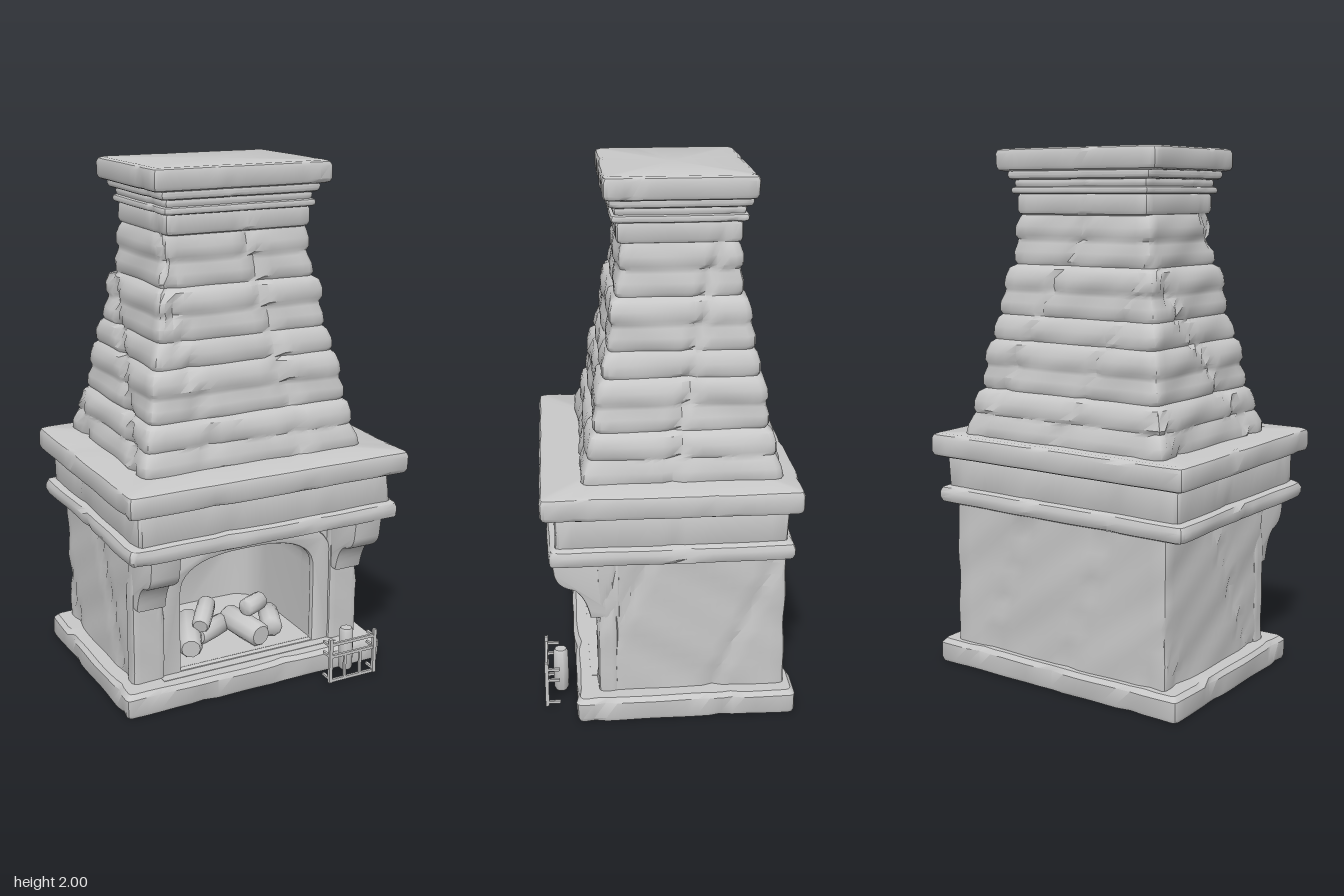
import * as THREE from 'three';
import { toCreasedNormals } from 'three/addons/utils/BufferGeometryUtils.js';

const stone = new THREE.MeshStandardMaterial({ color: 0xc8c8c8, side: THREE.DoubleSide });
stone.name = 'grey stone';

// Smooth, repeatable unevenness with occasional chips
const wear = (x, y, z) => {
  const soft = Math.sin(9 * x + 7 * y + 2) * Math.sin(8 * z - 11 * y) * 0.5 + Math.sin(23 * x - 19 * z + 31 * y) * 0.3;
  const chip = Math.max(0, Math.sin(17 * x + 13 * z + 6 * y + 1) - 0.93) * 22;
  return soft - chip;
};

export function createModel() {
  const model = new THREE.Group();
  model.name = 'fireplace';
  const body = new THREE.Group();
  body.name = 'masonry';
  body.rotation.y = -0.174;
  model.add(body);

  const add = (name, geo, parent = body, crease = 0.65) => {
    const mesh = new THREE.Mesh(toCreasedNormals(geo, crease), stone);
    mesh.name = name;
    parent.add(mesh);
    return mesh;
  };

  // Skin over equal-length rows of points; keep() may drop faces
  const skin = (rows, closed, keep = () => true) => {
    const n = rows[0].length, index = [];
    for (let i = 0; i < rows.length - 1; i++) {
      for (let j = 0; j < (closed ? n : n - 1); j++) {
        const k = (j + 1) % n;
        if (!keep(rows[i][j], rows[i][k])) continue;
        const a = i * n + j, b = i * n + k;
        index.push(a, a + n, b, b, a + n, b + n);
      }
    }
    const geo = new THREE.BufferGeometry().setFromPoints(rows.flat());
    geo.setIndex(index);
    return geo;
  };

  // Rounded rectangular ring at height y
  const ring = (y, hw, zf, zb, amp = 0.006, r = 0.018) => {
    const pts = [], corners = [[hw, zf], [-hw, zf], [-hw, zb], [hw, zb]];
    const put = (x, z, a) => {
      const d = amp * wear(x, y, z);
      pts.push(new THREE.Vector3(x + Math.cos(a) * d, y, z + Math.sin(a) * d));
    };
    const at = (k, a) => {
      const [x, z] = corners[k % 4];
      return [x - Math.sign(x) * r + Math.cos(a) * r, z + (k % 4 < 2 ? -r : r) + Math.sin(a) * r];
    };
    for (let k = 0; k < 4; k++) {
      const a0 = k * Math.PI / 2, a1 = a0 + Math.PI / 2;
      for (let s = 0; s < 3; s++) put(...at(k, a0 + s * Math.PI / 4), a0 + s * Math.PI / 4);
      const p = at(k, a1), q = at(k + 1, a1);
      for (let s = 1; s < 18; s++) {
        put(p[0] + (q[0] - p[0]) * s / 18, p[1] + (q[1] - p[1]) * s / 18, a1);
      }
    }
    return pts;
  };
  const hub = (row, z) => row.map(p => new THREE.Vector3(0, p.y, z));

  // Closed course of stone with softened edges
  const slab = (name, y0, y1, hw, zf, zb, soft = 0.016, amp = 0.006) => {
    const e = Math.min(soft, (y1 - y0) / 2.5);
    const rows = [[y0, e], [y0 + e * 0.3, e * 0.3], [y0 + e, 0], [y1 - e, 0], [y1 - e * 0.3, e * 0.3], [y1, e]]
      .map(([y, i]) => ring(y, hw - i, zf - i, zb + i, amp));
    const mid = (zf + zb) / 2;
    add(name, skin([hub(rows[0], mid), ...rows, hub(rows[5], mid)], true));
  };

  // Plinth, open underneath
  const plinth = [[0, 0.55, 0.35, -0.46], [0.015, 0.555, 0.355, -0.465], [0.075, 0.555, 0.355, -0.465],
    [0.092, 0.54, 0.34, -0.45], [0.092, 0.47, 0.25, -0.41]].map(r => ring(...r));
  plinth.unshift(ring(0, 0.515, 0.315, -0.425));
  add('plinth', skin(plinth, true));

  // Side and back walls, open at the front
  const walls = [];
  for (let i = 0; i <= 12; i++) walls.push(ring(0.09 + i * 0.046, 0.488, 0.262, -0.43, 0.008));
  add('walls', skin(walls, true, (p, q) => Math.min(p.z, q.z) < 0.235));

  // Arched contour of the hearth opening
  const arch = (w, spring, top) => {
    const pts = [new THREE.Vector2(w, 0.09)];
    for (let i = 0; i <= 20; i++) {
      const a = i / 20 * Math.PI, c = Math.cos(a);
      pts.push(new THREE.Vector2(Math.sign(c) * w * Math.abs(c) ** 0.75, spring + (top - spring) * Math.sin(a) ** 0.75));
    }
    pts.push(new THREE.Vector2(-w, 0.09));
    return pts;
  };
  const inner = arch(0.3, 0.4, 0.56);
  const pierced = (outline, depth, bevel) => {
    const shape = new THREE.Shape(outline);
    shape.holes.push(new THREE.Path(inner));
    return new THREE.ExtrudeGeometry(shape, { depth, bevelEnabled: bevel > 0, bevelSize: bevel, bevelThickness: bevel, bevelSegments: 2 });
  };
  const rect = [[-0.48, 0.08], [0.48, 0.08], [0.48, 0.65], [-0.48, 0.65]].map(p => new THREE.Vector2(...p));
  add('frontWall', pierced(rect, 0.09, 0).translate(0, 0, 0.15));
  add('archSurround', pierced(arch(0.365, 0.43, 0.615), 0.012, 0.01).translate(0, 0, 0.238));

  // Firebox vault narrowing to a rounded back
  const vault = [[0.16, 1], [-0.14, 1], [-0.2, 0.97], [-0.25, 0.88], [-0.28, 0.74], [-0.285, 0]]
    .map(([z, s]) => inner.map(p => new THREE.Vector3(p.x * s, 0.09 + (p.y - 0.09) * s, z)));
  add('firebox', skin(vault, false), body, 1);
  add('hearthFloor', new THREE.BoxGeometry(0.76, 0.02, 0.6).translate(0, 0.084, 0));

  // Front pillars and scrolled corbels
  const profile = new THREE.Shape();
  profile.moveTo(0.2, 0.41);
  profile.lineTo(0.29, 0.41);
  profile.quadraticCurveTo(0.31, 0.5, 0.355, 0.525);
  profile.quadraticCurveTo(0.41, 0.535, 0.42, 0.58);
  profile.lineTo(0.43, 0.65);
  profile.lineTo(0.2, 0.65);
  const corbel = new THREE.ExtrudeGeometry(profile, { depth: 0.1, bevelSize: 0.01, bevelThickness: 0.01, bevelSegments: 2, curveSegments: 8 })
    .translate(0, 0, -0.05).rotateY(-Math.PI / 2);
  for (const s of [-1, 1]) {
    const rows = [];
    for (let i = 0; i <= 12; i++) rows.push(ring(0.09 + i * 0.046, 0.066, 0.272, 0.2, 0.006));
    add('pillar', skin(rows, true)).position.x = s * 0.427;
    add('corbel', corbel).position.x = s * 0.428;
  }

  // Mantel
  slab('lowerMoulding', 0.64, 0.71, 0.565, 0.452, -0.452, 0.025);
  slab('frieze', 0.69, 0.84, 0.533, 0.425, -0.425, 0.02);
  slab('mantelShelf', 0.828, 0.92, 0.58, 0.474, -0.474, 0.02, 0.005);

  // Tapered hood in uneven courses
  const cz = -0.046, hood = [], courses = 9;
  for (let i = 0; i < courses; i++) {
    for (const [f, bulge] of [[0, -0.006], [0.15, 0.003], [0.5, 0.007], [0.85, 0.002]]) {
      const t = (i + f) / courses, sag = t - 0.16 * t * (t - 1);
      const out = bulge + 0.006 * Math.sin(i * 2.4);
      const hw = 0.455 - 0.165 * sag + out, hd = 0.365 - 0.16 * sag + out;
      hood.push(ring(0.91 + 0.85 * t, hw, cz + hd, cz - hd, 0.011, 0.025));
    }
  }
  hood.push(ring(1.76, 0.29, cz + 0.205, cz - 0.205, 0.004, 0.025));
  add('hood', skin(hood, true), body, 0.8);

  // Chimney neck, mouldings and cap
  for (const [name, y0, y1, hw, hd] of [
    ['neck', 1.755, 1.84, 0.297, 0.225], ['neckMoulding', 1.832, 1.86, 0.312, 0.245],
    ['cove', 1.85, 1.895, 0.302, 0.235], ['capMoulding', 1.885, 1.925, 0.327, 0.257],
    ['cap', 1.916, 2, 0.362, 0.272]]) slab(name, y0, y1, hw, cz + hd, cz - hd, 0.018, 0.004);

  // Logs: rounded cylinders between two points
  const log = (a, b, r, name = 'log', parent = body) => {
    const p = new THREE.Vector3(...a), q = new THREE.Vector3(...b), len = p.distanceTo(q);
    const pts = [[0, -0.5], [0.8, -0.5], [1, -0.44], [1.04, 0], [1, 0.44], [0.8, 0.5], [0, 0.5]]
      .map(([x, y]) => new THREE.Vector2(x * r, y * len));
    const mesh = add(name, new THREE.LatheGeometry(pts, 10), parent, 0.9);
    mesh.position.copy(p).add(q).multiplyScalar(0.5);
    mesh.quaternion.setFromUnitVectors(new THREE.Vector3(0, 1, 0), q.sub(p).normalize());
  };
  log([-0.22, 0.145, 0.2], [-0.12, 0.16, -0.04], 0.046);
  log([-0.15, 0.2, 0.14], [-0.06, 0.24, 0.02], 0.036);
  log([-0.14, 0.14, 0.1], [0.01, 0.135, 0.02], 0.04);
  log([0.08, 0.145, 0.22], [0.04, 0.15, 0], 0.05);
  log([0.06, 0.225, 0.12], [0.16, 0.225, 0.07], 0.036);
  log([0.16, 0.14, 0.17], [0.22, 0.14, 0.02], 0.042);

  // Small barred log holder standing before the plinth
  const holder = new THREE.Group();
  holder.name = 'logHolder';
  holder.position.set(0.352, 0, 0.468);
  body.add(holder);
  const bar = (name, w, h, d, x, y, z) => add(name, new THREE.BoxGeometry(w, h, d).translate(x, y, z), holder);
  for (const s of [-1, 1]) {
    bar('post', 0.014, 0.185, 0.014, s * 0.1, 0.108, 0);
    bar('innerBar', 0.01, 0.11, 0.01, s * 0.035, 0.075, 0);
    for (const y of [0.03, 0.125, 0.17]) bar('sideRail', 0.01, 0.01, 0.05, s * 0.1, y, -0.025);
  }
  for (const y of [0.022, 0.125, 0.175]) bar('rail', 0.2, 0.012, 0.01, 0, y, 0);
  log([0.004, 0.03, -0.055], [0.004, 0.205, -0.055], 0.028, 'standingLog', holder);

  return model;
}
